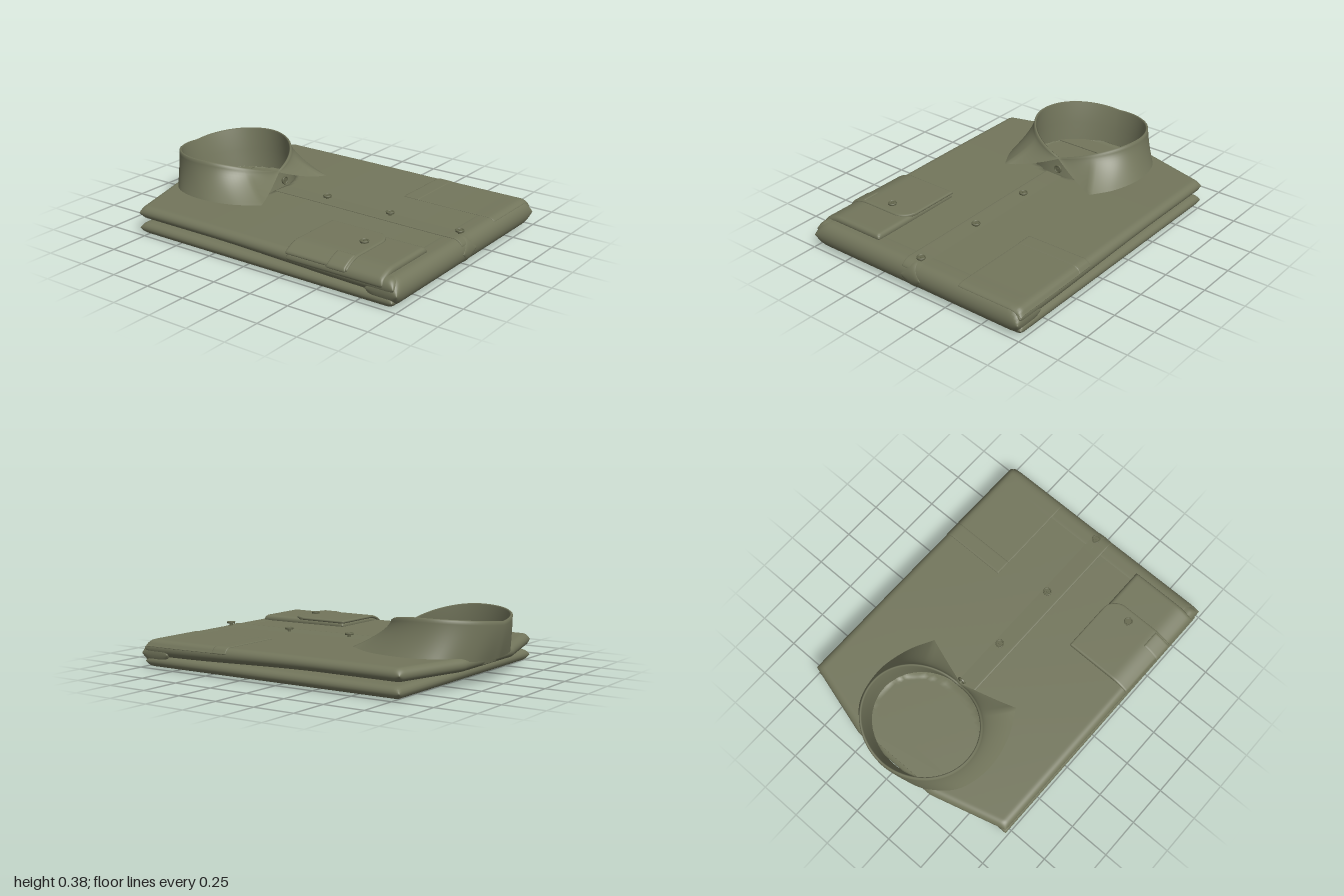
import * as THREE from 'three';
import { mergeVertices } from 'three/addons/utils/BufferGeometryUtils.js';

const fabric = new THREE.MeshStandardMaterial({ color: 0x73765c, side: THREE.DoubleSide });
fabric.name = 'olive fabric';
const buttonMat = new THREE.MeshStandardMaterial({ color: 0x66694f });
buttonMat.name = 'dark olive button';

const { abs, sin, cos, sqrt, min, max, pow, PI } = Math;
const lerp = THREE.MathUtils.lerp;
const round = (e, r) => sqrt(1 - pow(1 - min(max(e, 0) / r, 1), 2));

// Top and bottom height of a padded cloth layer with rounded edges
function heights(s, x, z) {
  const f = round(min(x - s.x0, s.x1 - x), s.r) * round(min(z - s.zb(x), s.zf(x) - z), s.r);
  const m = s.mid(x, z), h = s.h(x, z) * f;
  return [m + h - (s.dip ? s.dip(x, z) * f : 0), m - h];
}

// Closed layer: two grids joined along the edge, denser near the rim
function layer(name, s, nx = 24, nz = 24) {
  const pos = [], idx = [];
  for (let side = 0; side < 2; side++) {
    const base = pos.length / 3;
    for (let i = 0; i <= nx; i++) {
      const x = lerp(s.x0, s.x1, (1 - cos(PI * i / nx)) / 2);
      for (let j = 0; j <= nz; j++) {
        const z = lerp(s.zb(x), s.zf(x), (1 - cos(PI * j / nz)) / 2);
        pos.push(x, heights(s, x, z)[side], z);
        if (i === nx || j === nz) continue;
        const a = base + i * (nz + 1) + j, b = a + nz + 1;
        if (side) idx.push(a, b, a + 1, b, b + 1, a + 1);
        else idx.push(a, a + 1, b, b, a + 1, b + 1);
      }
    }
  }
  let g = new THREE.BufferGeometry();
  g.setAttribute('position', new THREE.Float32BufferAttribute(pos, 3));
  g.setIndex(idx);
  g = mergeVertices(g);
  g.computeVertexNormals();
  const mesh = new THREE.Mesh(g, fabric);
  mesh.name = name;
  return mesh;
}

const k = (v) => () => v;

// Folded body: lower half, upper half with shoulders and neck opening, front roll
const lower = { x0: -0.74, x1: 0.74, zb: k(-0.79), zf: k(0.97), mid: k(0.04), h: k(0.034), r: 0.04 };
const shoulder = (x) => -0.79 - 0.13 * min(1, (0.74 - abs(x)) / 0.46);
const neckDip = (x, z) => {
  const d = pow(x / 0.36, 2) + pow((z + 0.63) / 0.29, 2);
  return 0.05 * (1 - THREE.MathUtils.smoothstep(d, 1, 1.15));
};
const upper = {
  x0: -0.74, x1: 0.74, zb: shoulder, zf: k(0.975), r: 0.045, dip: neckDip,
  mid: (x, z) => 0.116 + 0.017 * THREE.MathUtils.smoothstep(-z, -0.9, 0.3),
  h: (x, z) => 0.048 - 0.01 * THREE.MathUtils.smoothstep(-z, -0.9, 0.3),
};
const roll = { x0: -0.74, x1: 0.74, zb: k(0.8), zf: k(0.997), mid: k(0.086), h: k(0.079), r: 0.07 };
const surface = (x, z) => max(heights(upper, x, z)[0], z > 0.8 ? heights(roll, x, z)[0] : 0);

// Folded sleeve layers curl down over the side of the body
const curl = (x) => 0.05 * pow(max(0, (-0.62 - x) / 0.13), 2);
const sleeve = (x1, x0, zb, zf, y, h, r) =>
  ({ x0, x1, zb: k(zb), zf: k(zf), mid: (x) => y - curl(x), h: k(h), r });

// Collar: one wrapped surface, leaf edge -> fold ridge -> inside of the stand
function collar() {
  const edge = new THREE.CatmullRomCurve3([
    [0.32, 0.178, -0.215], [0.4, 0.172, -0.37], [0.44, 0.172, -0.58],
    [0.385, 0.165, -0.8], [0.22, 0.145, -0.925], [0, 0.138, -0.965],
  ].map((p) => new THREE.Vector3(...p)));
  const half = 50, nv = 12, rows = nv + 5, pos = [], idx = [];
  for (let i = -half; i <= half; i++) {
    const u = abs(i) / half, sg = i < 0 ? -1 : 1, t = PI * u, tip = 0.2;
    const sn = sin(t), cs = cos(t);
    const ry = cs > 0 ? 0.27 + 0.112 * sn : 0.348 + 0.034 * sn;
    const ridge = new THREE.Vector3(0.365 * sn, ry, -0.67 + 0.33 * cs);
    const q = u / tip;
    const hem = u < tip
      ? new THREE.Vector3(0.32 * q, 0.178 + 0.087 * pow(1 - q, 1.6), lerp(-0.335, -0.215, q))
      : edge.getPoint((u - tip) / (1 - tip));
    const put = (x, y, z) => pos.push(sg * x, y, z);
    for (let v = 0; v <= nv; v++) {
      const d = 1 - v / nv, w = pow(d, 1.6);
      put(lerp(ridge.x, hem.x, w), lerp(ridge.y - 0.006, hem.y, d), lerp(ridge.z, hem.z, w));
    }
    put(0.357 * sn, ry, -0.67 + 0.322 * cs);
    put(0.349 * sn, ry - 0.006, -0.67 + 0.314 * cs);
    put(0.35 * sn, lerp(ry, 0.11, 0.5), -0.642 + 0.309 * cs);
    put(0.357 * sn, 0.11, -0.615 + 0.305 * cs);
    if (i === half) continue;
    for (let v = 0; v < rows - 1; v++) {
      const a = (i + half) * rows + v, b = a + rows;
      idx.push(a, b, a + 1, b, b + 1, a + 1);
    }
  }
  let g = new THREE.BufferGeometry();
  g.setAttribute('position', new THREE.Float32BufferAttribute(pos, 3));
  g.setIndex(idx);
  g = mergeVertices(g);
  g.computeVertexNormals();
  const mesh = new THREE.Mesh(g, fabric);
  mesh.name = 'collar';
  return mesh;
}

// Button with rim, centre boss and shank, facing +y before rotation
function button(name, x, y, z, rx = 0) {
  const b = new THREE.Group();
  const add = (g, h) => {
    const m = new THREE.Mesh(g, buttonMat);
    m.position.y = h;
    b.add(m);
    return m;
  };
  add(new THREE.CylinderGeometry(0.026, 0.024, 0.008, 28), 0.01);
  add(new THREE.TorusGeometry(0.022, 0.004, 8, 28), 0.014).rotation.x = PI / 2;
  add(new THREE.CylinderGeometry(0.007, 0.007, 0.004, 12), 0.015);
  add(new THREE.CylinderGeometry(0.01, 0.01, 0.016, 12), 0);
  b.position.set(x, y, z);
  b.rotation.x = rx;
  b.name = name;
  return b;
}

export function createModel() {
  const shirt = new THREE.Group();
  shirt.name = 'foldedShirt';
  shirt.add(
    layer('lowerBody', lower, 40, 40),
    layer('upperBody', upper, 90, 110),
    layer('frontFold', roll, 40, 24),
    collar(),
  );

  // Yoke panel seen inside the neck
  const yoke = new THREE.Mesh(new THREE.BoxGeometry(0.62, 0.008, 0.12), fabric);
  yoke.position.set(0, 0.122, -0.83);
  yoke.name = 'yoke';
  shirt.add(yoke);

  // Button placket: raised on its left edge, blending in on the other
  shirt.add(
    layer('placket', {
      x0: -0.07, x1: 0.07, zb: k(-0.31), zf: k(0.985), r: 0.004, h: k(0.004),
      mid: (x, z) => surface(x, z) + 0.001 - 0.006 * (x + 0.07) / 0.14,
    }, 12, 60),
    layer('placketFold', { ...roll, x0: -0.07, x1: 0.07, zf: k(1), h: k(0.081) }, 16, 24),
    layer('underPlacket', {
      x0: -0.07, x1: 0.07, zb: k(-0.75), zf: k(0.9), r: 0.004, h: k(0.003), mid: k(0.007),
    }, 8, 8),
  );

  // Chest pocket wrapping toward the side, with its hem
  const pocket = (zf, h) => ({
    x0: 0.32, x1: 0.742, zb: k(0.36), zf: k(zf), r: 0.005, h: k(h),
    mid: (x, z) => surface(min(x, 0.738), z),
  });
  shirt.add(layer('pocket', pocket(0.97, 0.003), 30, 40), layer('pocketHem', pocket(0.46, 0.005), 30, 12));

  // Folded sleeve, cuff with a rounded corner, and sleeve band
  const cuff = sleeve(-0.308, -0.742, 0.285, 0.69, 0.196, 0.009, 0.008);
  cuff.zf = (x) => 0.69 - 0.1 * (1 - round(-0.308 - x, 0.1));
  shirt.add(
    layer('sleeve', sleeve(-0.312, -0.745, 0.29, 0.91, 0.172, 0.024, 0.02), 30, 30),
    layer('cuff', cuff, 40, 24),
    layer('sleeveBand', sleeve(-0.64, -0.75, 0.56, 0.68, 0.197, 0.012, 0.01), 16, 16),
    button('cuffButton', -0.48, 0.203, 0.62),
  );

  // Front, collar and underside buttons
  [[0.01, 0.02], [0.015, 0.46], [0.015, 0.92]].forEach(([x, z]) =>
    shirt.add(button('frontButton', x, surface(x, z) + 0.008, z)));
  shirt.add(button('collarButton', 0.02, 0.215, -0.318, PI / 2));
  [0.68, 0.22, -0.24].forEach((z) => shirt.add(button('undersideButton', 0.01, 0.018, z, PI)));
  return shirt;
}
